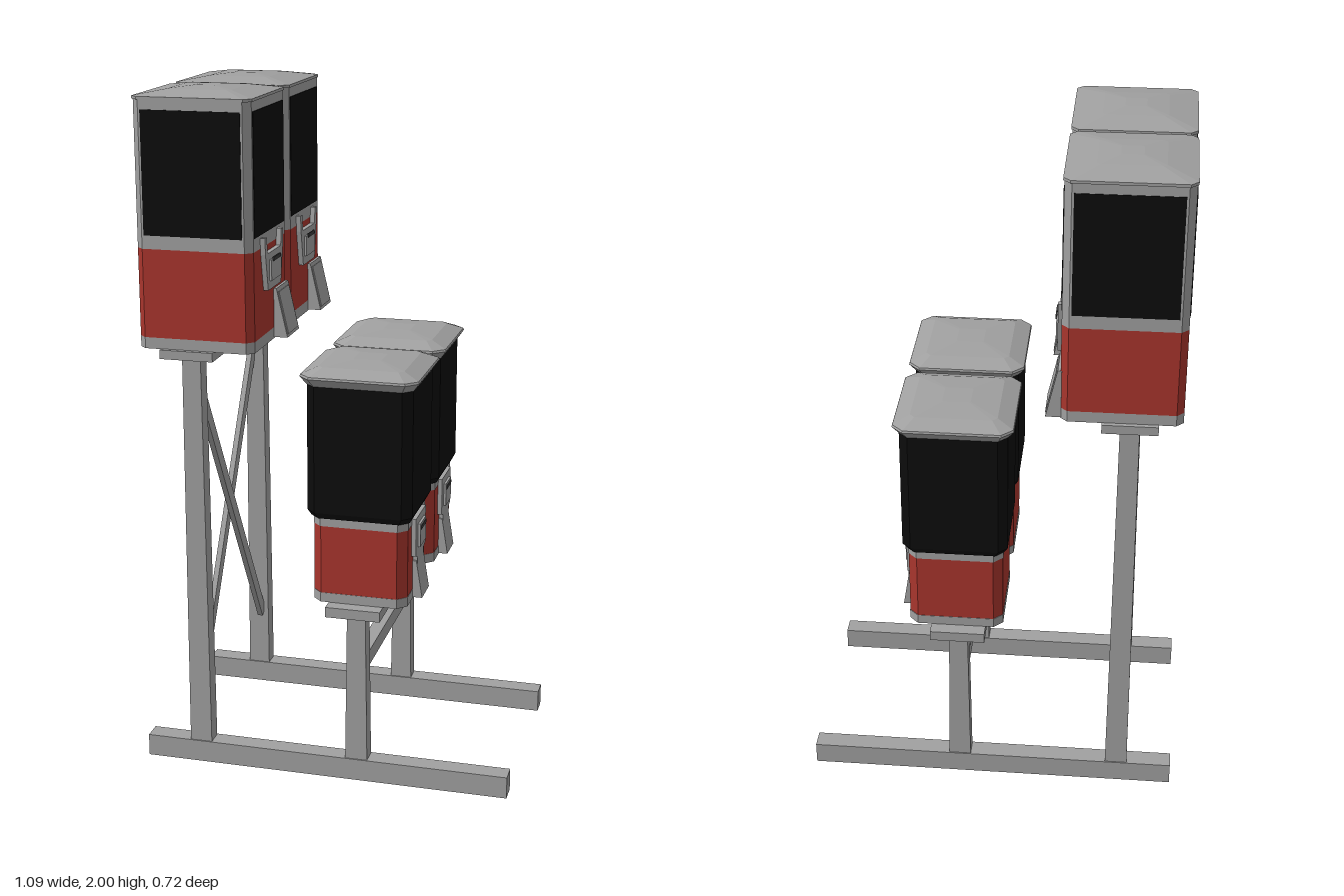
import * as THREE from 'three';

const mat = (name, color) => {
  const m = new THREE.MeshStandardMaterial({ color });
  m.name = name;
  return m;
};

// Stack of chamfered squares, each level [half width, y, chamfer], closed at both ends
function loft(levels) {
  const rings = levels.map(([h, y, c]) => [
    [h, h - c], [h - c, h], [c - h, h], [-h, h - c],
    [-h, c - h], [c - h, -h], [h - c, -h], [h, c - h],
  ].map(([x, z]) => [x, y, z]));
  const pos = [];
  const tri = (...pts) => pts.forEach(p => pos.push(...p));
  const last = rings.length - 1;
  for (let i = 0; i < 8; i++) {
    const j = (i + 1) % 8;
    for (let k = 0; k < last; k++) {
      const lo = rings[k], hi = rings[k + 1];
      tri(lo[i], hi[i], lo[j]);
      tri(lo[j], hi[i], hi[j]);
    }
    tri([0, levels[0][1], 0], rings[0][i], rings[0][j]);
    tri([0, levels[last][1], 0], rings[last][j], rings[last][i]);
  }
  const g = new THREE.BufferGeometry();
  g.setAttribute('position', new THREE.Float32BufferAttribute(pos, 3));
  g.computeVertexNormals();
  return g;
}

const extrude = (pts, depth) => new THREE.ExtrudeGeometry(
  new THREE.Shape(pts.map(p => new THREE.Vector2(...p))), { depth, bevelEnabled: false });

// Outline given across the machine's face, thickened towards +x
const facePlate = (pts, x, depth) => extrude(pts, depth).rotateY(Math.PI / 2).translate(x, 0, 0);

// Mirrors one half of an outline
const mirrored = half => [...half, ...half.slice().reverse().map(([x, y]) => [-x, y])];

export function createModel() {
  const grey = mat('painted steel grey', 0xa0a0a0);
  const red = mat('red enamel', 0xa8352d);
  const black = mat('black glass', 0x0c0c0c);
  const dark = mat('dark slot', 0x3a3a3a);
  const model = new THREE.Group();
  model.name = 'vendingStand';

  const add = (parent, name, geometry, material) => {
    const mesh = new THREE.Mesh(geometry, material);
    mesh.name = name;
    parent.add(mesh);
    return mesh;
  };
  const box = (parent, name, size, at, material = grey) => {
    const mesh = add(parent, name, new THREE.BoxGeometry(...size), material);
    mesh.position.set(...at);
    return mesh;
  };
  // Upright that narrows slightly towards the top
  const leg = (name, x, z, y0, y1) => {
    const g = new THREE.BoxGeometry(0.066, y1 - y0, 0.05);
    const p = g.attributes.position;
    for (let i = 0; i < p.count; i++) if (p.getY(i) > 0) p.setX(i, p.getX(i) * 0.82);
    g.computeVertexNormals();
    add(model, name, g, grey).position.set(x, (y0 + y1) / 2, z);
  };

  // Stand: runners, legs, shelves and braces
  for (const s of [1, -1]) {
    box(model, 'runner', [1.094, 0.066, 0.057], [0, 0.033, s * 0.294]);
    leg('tallLeg', -0.381, s * 0.294, 0.06, 1.256);
    leg('shortLeg', 0.098, s * 0.294, 0.06, 0.53);
    const brace = box(model, 'diagonalBrace', [0.016, 1.04, 0.036], [-0.381 + s * 0.009, 0.69, 0]);
    brace.rotation.x = s * Math.atan2(0.54, 0.89);
  }
  box(model, 'tallShelf', [0.155, 0.026, 0.72], [-0.382, 1.268, 0]);
  box(model, 'shortShelf', [0.16, 0.03, 0.72], [0.097, 0.54, 0]);
  box(model, 'crossRail', [0.04, 0.046, 0.56], [0.098, 0.357, 0]);

  // Tall machine with windows between corner posts
  function tallMachine(z) {
    const g = new THREE.Group();
    g.name = 'tallMachine';
    g.position.set(-0.358, 0, z);
    const c = 0.02;
    add(g, 'base', loft([[0.168, 1.28, c], [0.168, 1.312, c]]), grey);
    add(g, 'lowerBody', loft([[0.168, 1.312, c], [0.168, 1.563, c]]), red);
    add(g, 'windowFrame', loft([[0.168, 1.563, c], [0.168, 1.975, c]]), grey);
    add(g, 'roof', loft([[0.171, 1.972, c], [0.171, 1.98, c], [0.09, 1.994, 0.01], [0.03, 2, 0.004]]), grey);
    for (let i = 0; i < 4; i++) {
      const side = new THREE.Group();
      side.name = 'windowSide';
      side.rotation.y = i * Math.PI / 2;
      box(side, 'window', [0.284, 0.344, 0.004], [0, 1.773, 0.168], black);
      g.add(side);
    }
    // Coin mechanism with raised ears
    add(g, 'coinPlate', facePlate(mirrored([
      [0.062, 1.44], [0.084, 1.545], [0.088, 1.592], [0.07, 1.592], [0.062, 1.545],
    ]), 0.168, 0.014), grey);
    box(g, 'coinPanel', [0.006, 0.06, 0.095], [0.185, 1.495, 0]);
    box(g, 'coinSlot', [0.004, 0.011, 0.066], [0.189, 1.525, 0], dark);
    // Offset chute
    add(g, 'chute', extrude([[0.165, 1.283], [0.208, 1.283], [0.176, 1.425], [0.165, 1.425]], 0.118)
      .translate(0, 0, -0.152), grey);
    const door = box(g, 'chuteDoor', [0.004, 0.125, 0.1], [0.193, 1.353, -0.093]);
    door.rotation.z = Math.atan2(0.032, 0.142);
    model.add(g);
  }

  // Short machine with a black globe and a flared lid
  function shortMachine(z) {
    const g = new THREE.Group();
    g.name = 'shortMachine';
    g.position.set(0.105, 0, z);
    const c = 0.026;
    add(g, 'base', loft([[0.138, 0.555, c], [0.138, 0.583, c]]), grey);
    add(g, 'lowerBody', loft([[0.137, 0.583, c], [0.137, 0.785, c]]), red);
    add(g, 'collar', loft([[0.138, 0.785, c], [0.138, 0.813, c]]), grey);
    add(g, 'globe', loft([[0.143, 0.81, c], [0.152, 0.828, c], [0.152, 1.205, c]]), black);
    add(g, 'lid', loft([
      [0.153, 1.198, 0.027], [0.17, 1.222, 0.032], [0.168, 1.228, 0.032],
      [0.122, 1.247, 0.014], [0.04, 1.255, 0.004],
    ]), grey);
    // Coin mechanism
    add(g, 'coinPlate', facePlate(mirrored([
      [0.042, 0.66], [0.042, 0.682], [0.065, 0.69], [0.065, 0.803],
    ]), 0.136, 0.014), grey);
    box(g, 'coinPanel', [0.008, 0.07, 0.075], [0.153, 0.745, 0]);
    box(g, 'coinSlot', [0.004, 0.011, 0.064], [0.157, 0.767, 0], dark);
    // Chute
    add(g, 'chute', extrude([[0.133, 0.558], [0.166, 0.558], [0.148, 0.67], [0.133, 0.67]], 0.094)
      .translate(0, 0, -0.047), grey);
    model.add(g);
  }

  for (const s of [1, -1]) {
    tallMachine(s * 0.178);
    shortMachine(s * 0.182);
  }
  return model;
}
